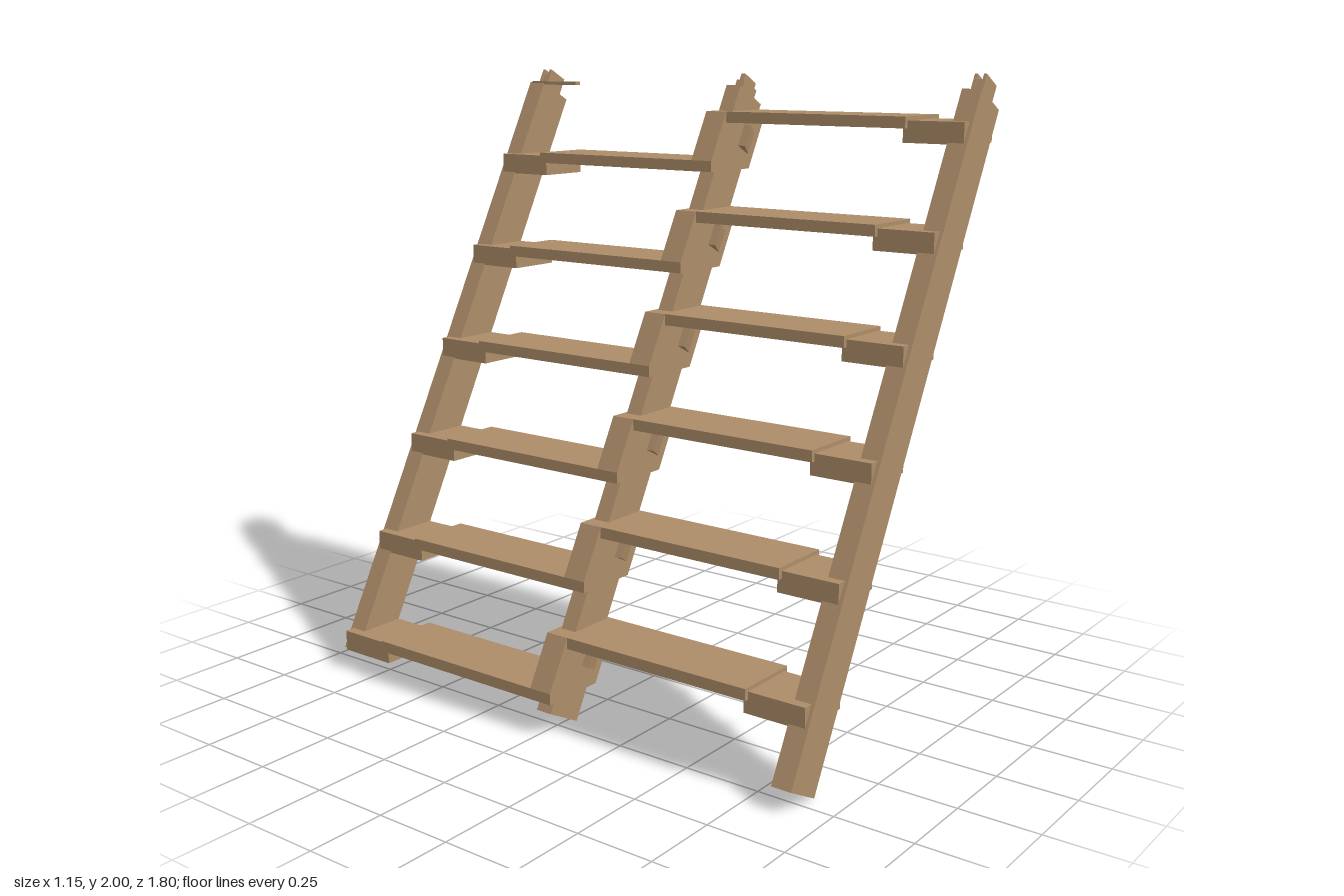
import * as THREE from 'three';

export function createModel() {
  const root = new THREE.Group();
  const wood = new THREE.MeshStandardMaterial({ color: 0xac8c68 });
  wood.name = 'tanWood';

  // Slope frame: local y runs up the stair, local x points to its underside
  const bottom = new THREE.Vector2(-0.5025, 0.033);
  const top = new THREE.Vector2(0.5, 1.919);
  const length = bottom.distanceTo(top);
  const lean = Math.atan2(top.x - bottom.x, top.y - bottom.y);

  function add(name, geometry, parent = root) {
    const mesh = new THREE.Mesh(geometry, wood);
    mesh.name = name;
    parent.add(mesh);
    return mesh;
  }
  // Box from its limits
  function box(name, x0, x1, y0, y1, z0, z1, parent = root) {
    const g = new THREE.BoxGeometry(x1 - x0, y1 - y0, z1 - z0);
    g.translate((x0 + x1) / 2, (y0 + y1) / 2, (z0 + z1) / 2);
    return add(name, g, parent);
  }

  // Leaning stringers with slotted pegs on their top ends
  for (const [name, z, half] of [['front', 0.868, 0.033], ['middle', 0, 0.028], ['back', -0.868, 0.033]]) {
    const g = new THREE.Group();
    g.name = name + 'Stringer';
    g.position.set(bottom.x, bottom.y, z);
    g.rotation.z = -lean;
    root.add(g);
    box(name + 'Beam', -0.07, 0.07, 0, length, -half, half, g);
    if (name === 'middle') {
      box('pegBase', -0.04, 0.04, length, length + 0.035, -0.016, 0.016, g);
      box('pegTongue', -0.036, 0.036, length, length + 0.06, -0.008, 0.008, g);
    } else {
      for (const s of [-1, 1])
        box('pegCheek', -0.04, 0.04, length, length + 0.066, s * 0.015 - 0.005, s * 0.015 + 0.005, g);
      box('pegCore', -0.036, 0.036, length, length + 0.05, -0.011, 0.011, g);
    }
  }

  // Flat latch bar on the back stringer
  box('latchBar', 0.436, 0.462, 1.943, 1.955, -0.89, -0.685);

  // Tread with the bracket that carries its outer end; side is 1 front, -1 back
  function addTread(side, x, y) {
    const z = (a, b) => side > 0 ? [a, b] : [-b, -a];
    box('tread', x, x + 0.22, y - 0.036, y, ...z(-0.04, 0.7));
    box('bracket', x + 0.015, x + 0.205, y - 0.08, y - 0.012, ...z(0.685, 0.89));
  }

  // Tapered lug standing out on both sides of the centre riser
  function lugGeometry() {
    const g = new THREE.BoxGeometry(0.062, 0.076, 0.134);
    const p = g.attributes.position;
    for (let i = 0; i < p.count; i++)
      if (p.getX(i) > 0) p.setZ(i, Math.sign(p.getZ(i)) * 0.044);
    const flat = g.toNonIndexed();
    flat.computeVertexNormals();
    return flat;
  }

  // Slanted block joining each back tread to the next front tread
  const outline = [[0, -0.036], [0.22, -0.036], [0.304, 0.121], [0.304, 0.157], [0.084, 0.157], [0, 0]];
  const riser = new THREE.ExtrudeGeometry(
    new THREE.Shape(outline.map(([x, y]) => new THREE.Vector2(x, y))),
    { depth: 0.08, bevelEnabled: false });
  riser.translate(0, 0, -0.04);
  const lug = lugGeometry();

  for (let i = 0; i < 6; i++) {
    const x = -0.58 + i * 0.167;
    const y = 0.139 + i * 0.3145;
    addTread(-1, x, y);
    addTread(1, x + 0.084, y + 0.157);
    add('centreRiser', riser).position.set(x, y, 0);
    const l = add('riserLug', lug);
    l.position.set(x + 0.2, y + 0.062, 0);
    l.rotation.z = -lean;
  }
  return root;
}
